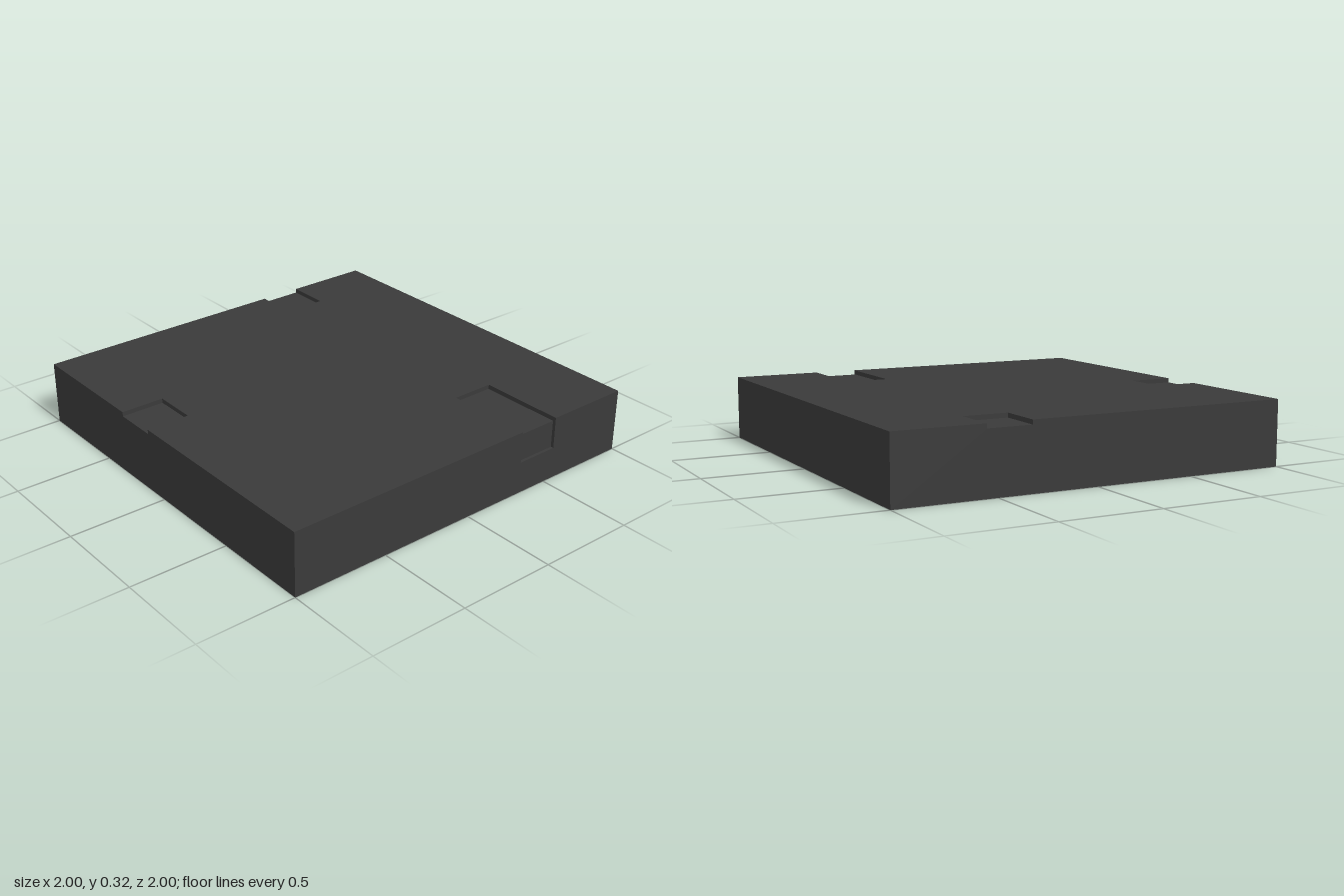
import * as THREE from 'three';

const H = 0.325;              // slab height
const FLOOR = H - 0.022;      // floor of the shallow top recesses
const SILL = 0.163;           // lower end of the front recess
const INSET = 0.984;          // plane of the front recess
const W = 0.222;              // recess width

const shapeGeo = (pts) =>
  new THREE.ShapeGeometry(new THREE.Shape(pts.map(([x, y]) => new THREE.Vector2(x, y))));

// Strip of width W following a (z, y) profile, centred on x = cx
function stripGeo(profile, cx) {
  const g = new THREE.PlaneGeometry(W, 1, 1, profile.length - 1);
  const p = g.attributes.position;
  for (let i = 0; i < p.count; i++) {
    const [z, y] = profile[Math.floor(i / 2)];
    p.setXYZ(i, p.getX(i) + cx, y, z);
  }
  const flat = g.toNonIndexed();
  flat.computeVertexNormals();
  return flat;
}

export function createModel() {
  const root = new THREE.Group();
  const mat = new THREE.MeshStandardMaterial({ color: 0x3a3a3a, side: THREE.DoubleSide });
  const add = (parent, name, geo) => {
    const m = new THREE.Mesh(geo, mat);
    m.name = name;
    parent.add(m);
  };

  // Top sheet with three cut-outs (shape y is -z)
  const a = 0.333, b = a + W;
  const top = shapeGeo([
    [-1, -1], [a, -1], [a, -b], [b, -b], [b, -1], [1, -1],
    [1, 1], [b, 1], [b, 1 - W], [a, 1 - W], [a, 1], [-1, 1],
    [-1, a], [W - 1, a], [W - 1, a - W], [-1, a - W],
  ]);
  top.rotateX(-Math.PI / 2).translate(0, H, 0);
  add(root, 'topSheet', top);

  // Recess profiles, from the inner top edge out to the wall
  const shallow = [[1 - W, H], [1 - W, FLOOR], [1, FLOOR]];
  const wrapped = [[b, H], [b, FLOOR], [INSET, FLOOR], [INSET, SILL], [1, SILL]];

  // Four thin walls, each made facing +z and turned into place
  const walls = [
    { name: 'front', turn: 0, cx: a + W / 2, profile: wrapped },
    { name: 'back', turn: Math.PI, cx: -a - W / 2, profile: shallow },
    { name: 'right', turn: -Math.PI / 2, cx: -a + W / 2, profile: shallow },
    { name: 'left', turn: Math.PI / 2 },
  ];
  for (const { name, turn, cx, profile } of walls) {
    const side = new THREE.Group();
    side.name = name + 'Side';
    side.rotation.y = turn;
    root.add(side);

    const outline = [[-1, 0], [1, 0], [1, H]];
    if (profile) {
      const low = profile[profile.length - 1][1];
      const x0 = cx - W / 2, x1 = cx + W / 2;
      outline.push([x1, H], [x1, low], [x0, low], [x0, H]);

      // Recess lining and its two cheeks
      add(side, name + 'Recess', stripGeo(profile, cx));
      for (const x of [x0, x1]) {
        const cheek = shapeGeo([...profile, [1, H]]);
        cheek.rotateY(-Math.PI / 2).translate(x, 0, 0);
        add(side, name + 'RecessCheek', cheek);
      }
    }
    outline.push([-1, H]);
    add(side, name + 'Wall', shapeGeo(outline).translate(0, 0, 1));
  }
  return root;
}
